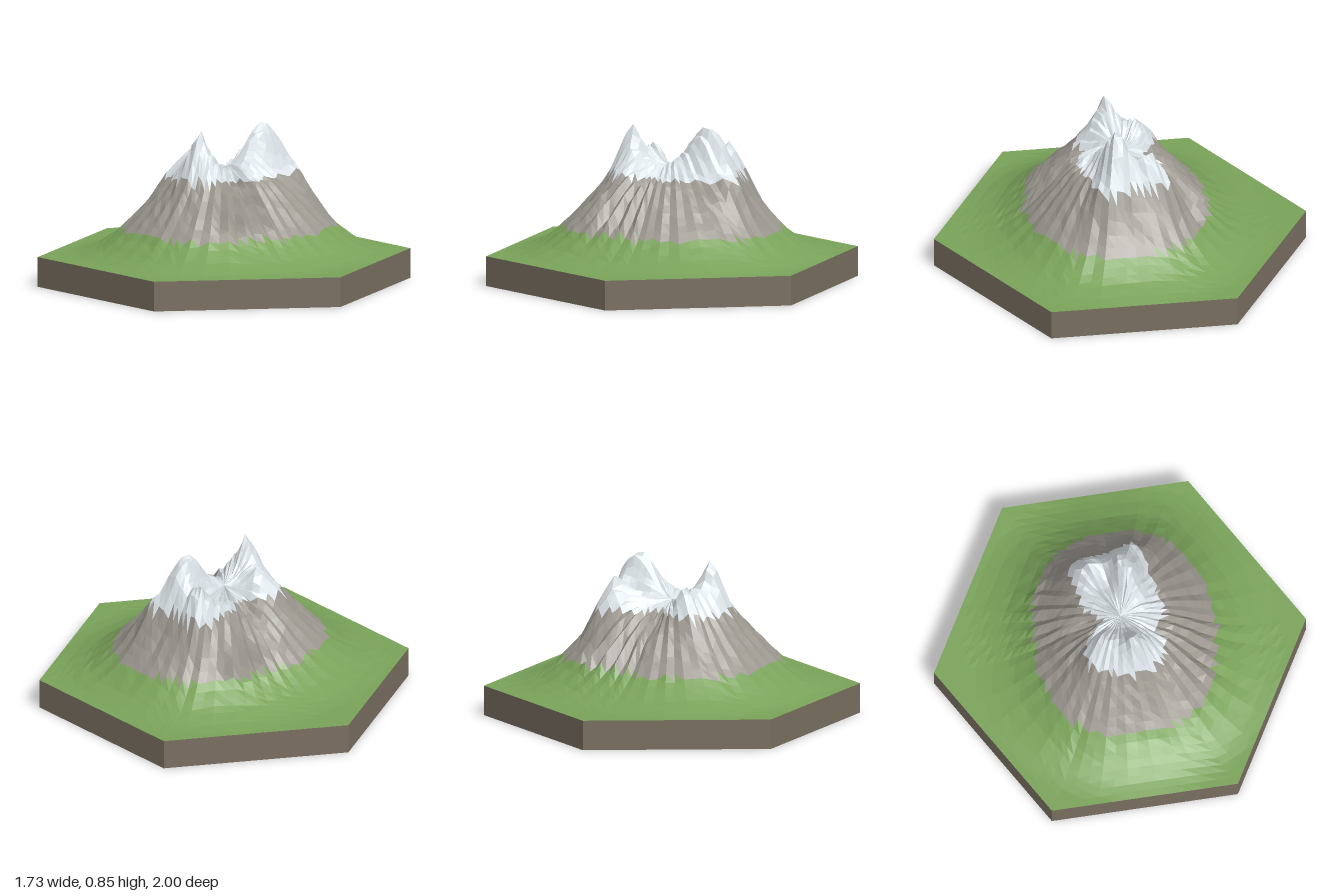
import * as THREE from 'three';

const BASE = 0.16, SIDE = 12, SEGS = SIDE * 6, RINGS = 22;

// Slope of the massif from its middle to the rim: [distance, height]
const SLOPE = [[0, 0.455], [0.2, 0.44], [0.3, 0.4], [0.4, 0.315], [0.5, 0.215],
  [0.6, 0.12], [0.7, 0.05], [0.8, 0.012], [0.87, 0], [9, 0]];

// Summits, shoulders and (negative) valleys: x, z, height, x spread, z spread, roundness
const PEAKS = [
  [-0.21, 0.05, 0.25, 0.085, 0.085, 1.4],
  [0.23, 0.05, 0.23, 0.14, 0.085, 2.4],
  [0.29, -0.12, 0.19, 0.09, 0.10, 1.5],
  [-0.14, -0.11, 0.10, 0.07, 0.07, 1.6],
  [-0.23, -0.18, 0.06, 0.07, 0.06, 1.6],
  [0.35, -0.21, 0.05, 0.07, 0.06, 1.6],
  [0.40, 0.14, 0.12, 0.09, 0.08, 1.6],
  [0.06, 0.12, 0.05, 0.08, 0.06, 1.6],
  [-0.01, -0.19, -0.06, 0.06, 0.09, 2],
  [-0.09, 0.17, -0.04, 0.05, 0.06, 2],
  [0.2, -0.03, -0.05, 0.08, 0.04, 2],
];

// Repeatable noise between -1 and 1
function noise(a, b) {
  const s = Math.sin(a * 127.1 + b * 311.7) * 43758.5453;
  return (s - Math.floor(s)) * 2 - 1;
}

function slope(d) {
  const i = SLOPE.findIndex(p => p[0] > d);
  const [d0, h0] = SLOPE[i - 1], [d1, h1] = SLOPE[i];
  return h0 + (h1 - h0) * (d - d0) / (d1 - d0);
}

// Height of the ground at a grid corner
function height(x, z, ring, seg) {
  const dx = Math.abs(x - 0.01), dz = Math.abs(z - 0.025);
  const d = Math.pow(Math.pow(dx, 2.5) + Math.pow(dz / (0.8 + 0.2 * dz * dz), 2.5), 1 / 2.5);
  let h = slope(d);
  for (const [px, pz, amp, sx, sz, round] of PEAKS) {
    h += amp * Math.exp(-Math.pow(Math.hypot((x - px) / sx, (z - pz) / sz), round));
  }
  // Ridges and gullies running down the flanks
  const flank = Math.min(1, h / 0.25) * Math.min(1, d / 0.2);
  const zigzag = seg % 2 ? 1 : -1;
  h += flank * (0.007 * zigzag + 0.008 * noise(seg, 3) + 0.006 * noise(seg, ring));
  // Broken crags on the back and front, left and right of the middle line
  const crag = (x * z < 0 && Math.abs(x) < 0.32) ? Math.exp(-Math.pow((Math.abs(z) - 0.38) / 0.08, 2)) : 0;
  h += crag * 0.016 * zigzag * (1 + 0.5 * noise(ring, seg));
  return ring === RINGS ? 0 : Math.max(0, h);
}

// Six-sided rings of points, growing from the middle to the rim
function gridPoint(ring, seg) {
  const s = (seg + SEGS) % SEGS, side = Math.floor(s / SIDE), t = (s % SIDE) / SIDE;
  const a = side * Math.PI / 3, b = a + Math.PI / 3, r = ring / RINGS;
  const x = r * (Math.sin(a) * (1 - t) + Math.sin(b) * t);
  const z = r * (Math.cos(a) * (1 - t) + Math.cos(b) * t);
  return [x, BASE + height(x, z, ring, ring ? s : 0), z];
}

export function createModel() {
  const make = (name, color) => {
    const m = new THREE.MeshStandardMaterial({ color, flatShading: true });
    m.name = name;
    return m;
  };
  const grass = make('grass green', 0x7aa35a);
  const rock = make('rock grey', 0x9b978f);
  const snow = make('snow white', 0xdce4e9);
  const earth = make('earth brown', 0x7a6f61);

  const group = new THREE.Group();
  group.name = 'mountainTile';
  const add = (name, geometry, material) => {
    const mesh = new THREE.Mesh(geometry, material);
    mesh.name = name;
    group.add(mesh);
    return mesh;
  };

  // Earth slab: six side walls and the underside
  add('slabSides', new THREE.CylinderGeometry(1, 1, BASE, 6, 1, true), earth).position.y = BASE / 2;
  const under = new THREE.CircleGeometry(1, 6);
  under.rotateZ(Math.PI / 6);
  under.rotateX(Math.PI / 2);
  add('slabUnderside', under, earth);

  // Ground faces, sorted by altitude into grass, rock and snow
  const bands = { grass: [], rock: [], snow: [] };
  const face = (a, b, c) => {
    const y = (a[1] + b[1] + c[1]) / 3;
    const band = y < 0.305 ? bands.grass : y < 0.58 ? bands.rock : bands.snow;
    band.push(...a, ...b, ...c);
  };
  for (let ring = 0; ring < RINGS; ring++) {
    for (let seg = 0; seg < SEGS; seg++) {
      const a = gridPoint(ring, seg), b = gridPoint(ring + 1, seg);
      const c = gridPoint(ring + 1, seg + 1), d = gridPoint(ring, seg + 1);
      face(a, b, c);
      if (ring) face(a, c, d);
    }
  }
  const ground = (name, points, material) => {
    const g = new THREE.BufferGeometry();
    g.setAttribute('position', new THREE.Float32BufferAttribute(points, 3));
    g.computeVertexNormals();
    add(name, g, material);
  };
  ground('grassSlopes', bands.grass, grass);
  ground('rockFlanks', bands.rock, rock);
  ground('snowCaps', bands.snow, snow);
  return group;
}
